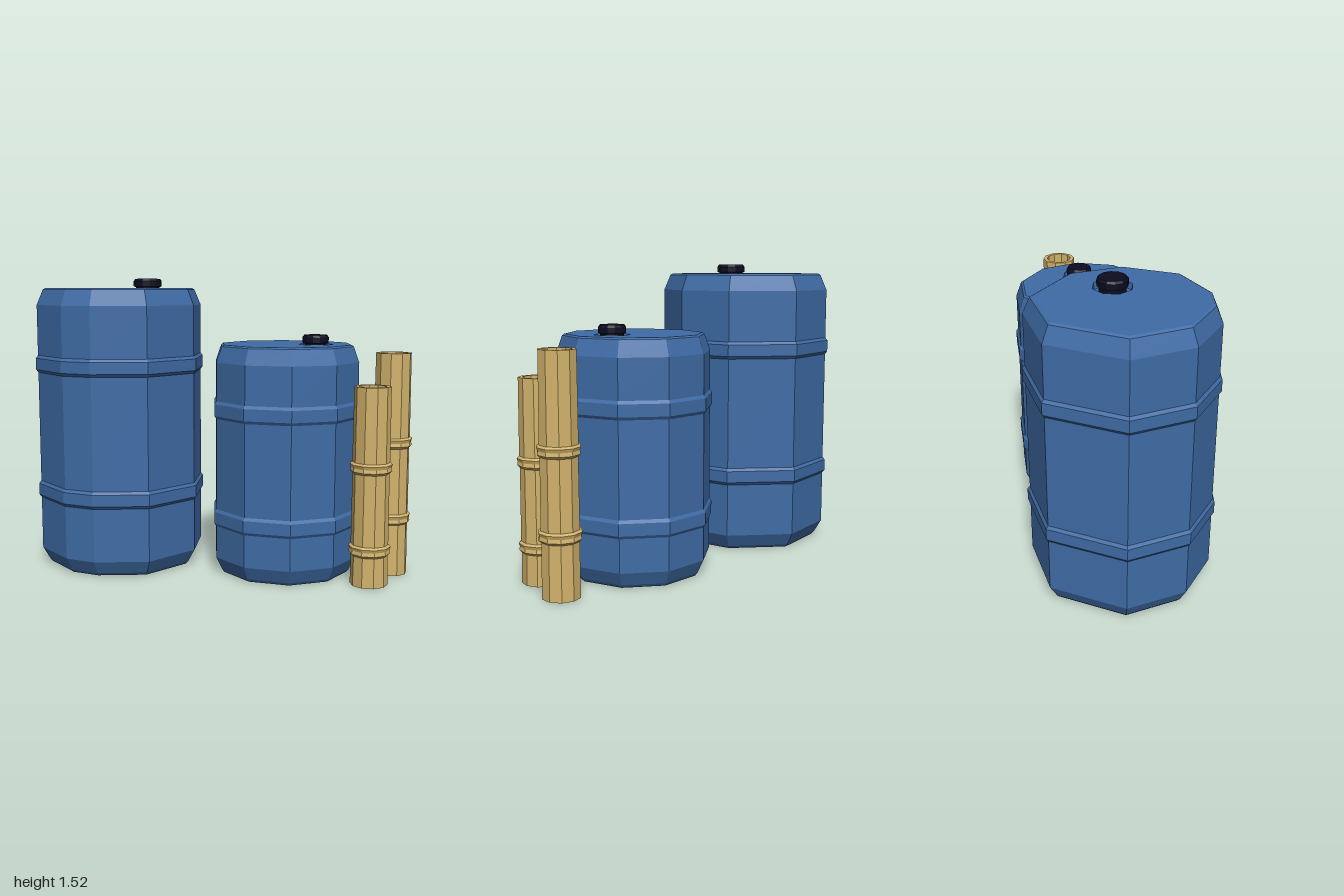
import * as THREE from 'three';

const material = (name, color) => {
  const m = new THREE.MeshStandardMaterial({ color });
  m.name = name;
  return m;
};

// Faceted solid: an [x, z] outline scaled and stacked along a [scale, y] profile.
function loft(outline, profile) {
  const pos = [];
  const n = outline.length;
  const at = (i, [s, y]) => [outline[i % n][0] * s, y, outline[i % n][1] * s];
  for (let k = 0; k < profile.length - 1; k++) {
    const lo = profile[k], hi = profile[k + 1];
    for (let i = 0; i < n; i++) {
      const a = at(i, lo), b = at(i + 1, lo), c = at(i + 1, hi), d = at(i, hi);
      if (lo[0] > 0) pos.push(...a, ...b, ...c);
      if (hi[0] > 0) pos.push(...a, ...c, ...d);
    }
  }
  const g = new THREE.BufferGeometry();
  g.setAttribute('position', new THREE.Float32BufferAttribute(pos, 3));
  g.computeVertexNormals();
  return g;
}

const ngon = (n, r, turn = 0) => Array.from({ length: n }, (_, i) => {
  const a = turn + (i / n) * Math.PI * 2;
  return [r * Math.cos(a), -r * Math.sin(a)];
});

function add(parent, name, geometry, mat, x = 0, y = 0, z = 0) {
  const mesh = new THREE.Mesh(geometry, mat);
  mesh.name = name;
  mesh.position.set(x, y, z);
  parent.add(mesh);
}

// Barrel with two raised hoops, chamfered ends, and a screw cap sunk in its lid.
function makeBarrel(name, o, mats) {
  const barrel = new THREE.Group();
  barrel.name = name;
  barrel.position.set(o.x, 0, o.z);
  const wall = 0.974, rim = 0.9, top = o.height;

  const profile = [[0, 0.005], [0.86, 0.005], [0.89, 0.02], [wall, 0.088]];
  for (const y of o.hoops) {
    profile.push([wall, y - 0.045], [1, y - 0.03], [1, y + 0.03], [wall, y + 0.045]);
  }
  profile.push([wall, top - 0.088], [rim, top - 0.008], [rim - 0.03, top]);
  add(barrel, 'body', loft(o.outline, profile), mats.blue);

  // lid with an opening for the cap
  const pocket = ngon(8, o.capRadius * 1.3, 0.2);
  const toVec = (s, dx = 0, dz = 0) => ([x, z]) => new THREE.Vector2(x * s + dx, -(z * s + dz));
  const lid = new THREE.Shape(o.outline.map(toVec(rim - 0.03)));
  lid.holes.push(new THREE.Path(pocket.map(toVec(1, o.capX, o.capZ))));
  add(barrel, 'lid', new THREE.ShapeGeometry(lid).rotateX(-Math.PI / 2), mats.blue, 0, top, 0);
  add(barrel, 'capPocket', loft(pocket, [[1, 0], [0.95, -0.03], [0, -0.03]]),
    mats.blue, o.capX, top, o.capZ);

  // screw cap
  add(barrel, 'cap', loft(ngon(12, o.capRadius),
    [[0.85, -0.03], [0.85, 0.005], [1, 0.008], [1, 0.036], [0.88, 0.048], [0, 0.048]]),
    mats.black, o.capX, top, o.capZ);
  return barrel;
}

// Hollow bamboo pole with raised joints.
function makePole(name, o, mats) {
  const profile = [[0, 0.003], [1, 0.003]];
  for (const y of o.joints) {
    profile.push([0.97, y - 0.03], [1.1, y - 0.018], [1.06, y], [1.12, y + 0.016], [0.99, y + 0.026]);
  }
  profile.push([0.96, o.height], [0.74, o.height], [0.74, o.height - 0.2], [0, o.height - 0.2]);
  const pole = new THREE.Group();
  pole.name = name;
  add(pole, 'stalk', loft(ngon(10, 0.094, o.turn), profile), mats.bamboo, o.x, 0, o.z);
  return pole;
}

export function createModel() {
  const mats = {
    blue: material('barrel blue', 0x3f6ca6),
    black: material('cap black', 0x0c0c22),
    bamboo: material('bamboo tan', 0xd2b36c),
  };
  const model = new THREE.Group();
  model.name = 'barrelsAndPoles';

  // slightly uneven nine-sided footprint
  const uneven = [[0.45, 0.06], [0.39, -0.23], [0.11, -0.46], [-0.24, -0.4], [-0.45, -0.05],
    [-0.37, 0.26], [-0.14, 0.43], [0.03, 0.45], [0.3, 0.35]];

  model.add(
    makeBarrel('largeBarrel', {
      x: -0.55, z: 0, height: 1.475, outline: uneven, hoops: [0.41, 1.08],
      capX: 0.15, capZ: -0.03, capRadius: 0.075,
    }, mats),
    makeBarrel('smallBarrel', {
      x: 0.35, z: -0.067, height: 1.19, outline: ngon(10, 0.39), hoops: [0.3, 0.86],
      capX: 0.152, capZ: -0.01, capRadius: 0.068,
    }, mats),
    makePole('shortPole', { x: 0.825, z: 0.09, height: 1.0, joints: [0.185, 0.6], turn: 0.1 }, mats),
    makePole('tallPole', { x: 0.892, z: -0.15, height: 1.15, joints: [0.3, 0.695], turn: 0.3 }, mats),
  );
  return model;
}
